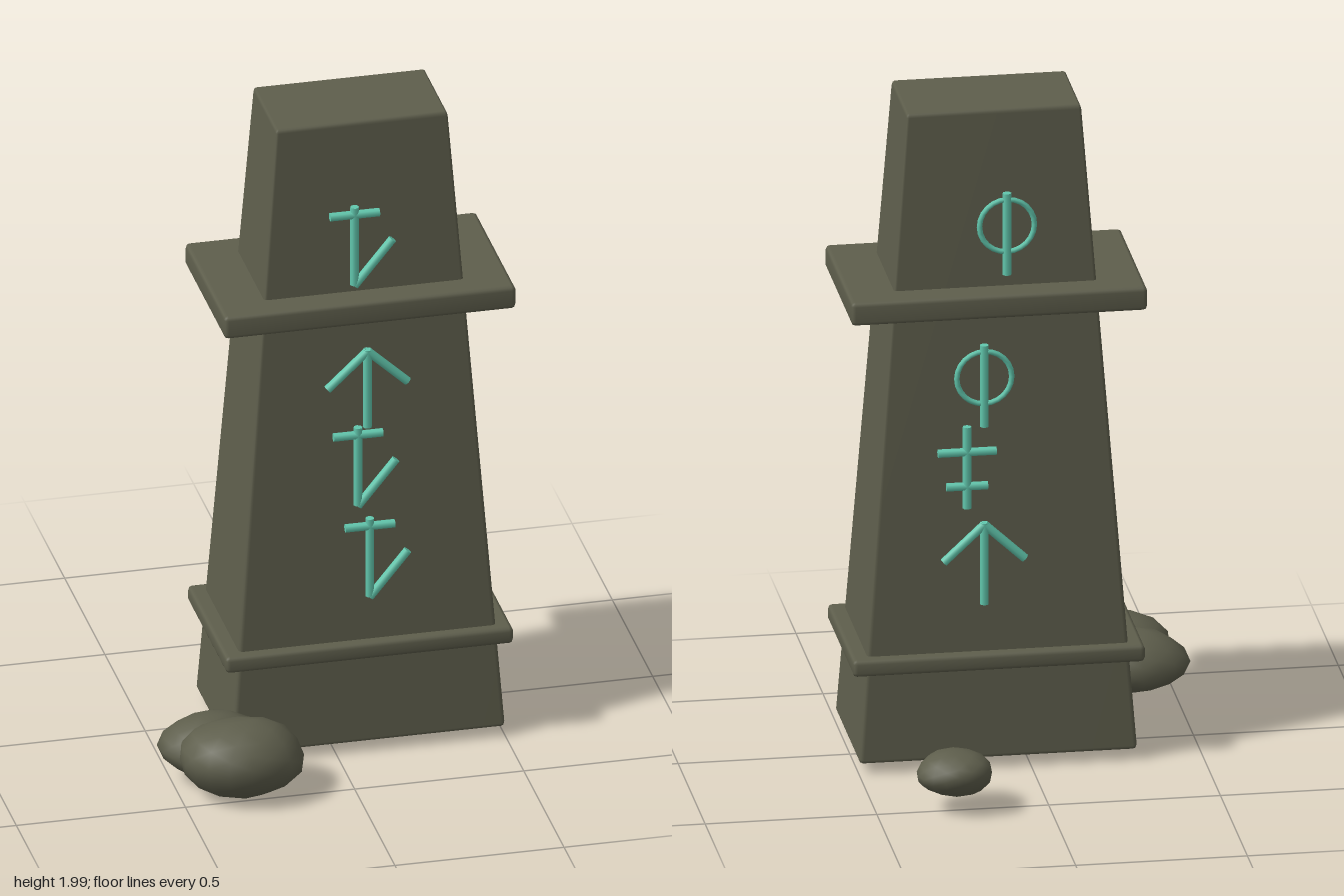
import * as THREE from 'three';
import { mergeVertices } from 'three/addons/utils/BufferGeometryUtils.js';
import { RoundedBoxGeometry } from 'three/addons/geometries/RoundedBoxGeometry.js';

const stone = new THREE.MeshStandardMaterial({ color: 0x5e5e4c });
stone.name = 'mossy stone';
const glow = new THREE.MeshStandardMaterial({ color: 0x62c8ae });
glow.name = 'teal rune';

const CX = 0.095, CZ = 0.05; // centre line of the monument

// Weld the corners and recompute soft normals
function soften(geo) {
  geo.deleteAttribute('normal');
  geo.deleteAttribute('uv');
  geo.clearGroups();
  const g = mergeVertices(geo, 1e-4);
  g.computeVertexNormals();
  return g;
}

function add(parent, name, geo, mat, x = 0, y = 0, z = 0) {
  const m = new THREE.Mesh(geo, mat);
  m.name = name;
  m.position.set(x, y, z);
  parent.add(m);
  return m;
}

// Bevelled box that narrows towards the top
function taperedBlock(w0, d0, w1, d1, h, r) {
  const g = new RoundedBoxGeometry(w0, h, d0, 1, r);
  const p = g.attributes.position;
  for (let i = 0; i < p.count; i++) {
    const t = p.getY(i) / h + 0.5;
    p.setX(i, p.getX(i) * THREE.MathUtils.lerp(1, w1 / w0, t));
    p.setZ(i, p.getZ(i) * THREE.MathUtils.lerp(1, d1 / d0, t));
  }
  return soften(g);
}

// Lumpy boulder: an ellipsoid pushed in and out by smooth waves
function boulder(rx, ry, rz, seed) {
  const g = soften(new THREE.IcosahedronGeometry(1, 2));
  const p = g.attributes.position;
  for (let i = 0; i < p.count; i++) {
    const x = p.getX(i), y = p.getY(i), z = p.getZ(i);
    const k = 1 + 0.045 * Math.sin(3.1 * x + seed) * Math.cos(2.7 * z - seed)
      + 0.035 * Math.sin(4.3 * y + 2.2 * x + seed * 1.7);
    p.setXYZ(i, x * k * rx, y * k * ry, z * k * rz);
  }
  g.computeVertexNormals();
  return g;
}

// Rune strokes, in local coordinates about the rune's centre: [x0, y0, x1, y1]
const staff = [0, -0.122, 0, 0.128];
const RUNES = {
  hook: [staff, [-0.073, 0.103, 0.073, 0.103], [0, -0.125, 0.112, 0.012]],
  arrow: [staff, [0, 0.122, -0.118, 0.012], [0, 0.122, 0.118, 0.012]],
  ring: [staff],
  doubleCross: [staff, [-0.085, 0.05, 0.085, 0.05], [-0.06, -0.055, 0.06, -0.055]],
};

function rune(kind, x, y, z) {
  const g = new THREE.Group();
  g.name = kind + 'Rune';
  for (const [x0, y0, x1, y1] of RUNES[kind]) {
    const len = Math.hypot(x1 - x0, y1 - y0);
    const bar = add(g, 'runeStroke', new THREE.CylinderGeometry(0.013, 0.013, len, 8),
      glow, (x0 + x1) / 2, (y0 + y1) / 2, 0);
    bar.rotation.z = Math.atan2(y1 - y0, x1 - x0) - Math.PI / 2;
  }
  if (kind === 'ring') {
    add(g, 'runeRing', new THREE.TorusGeometry(0.08, 0.008, 6, 24), glow, 0, 0.028, 0);
  }
  g.position.set(x, y, z);
  return g;
}

export function createModel() {
  const model = new THREE.Group();
  model.name = 'runeMonument';

  // Tapering shaft and its two collars
  add(model, 'shaft', taperedBlock(0.81, 0.452, 0.507, 0.288, 1.96, 0.013), stone, CX, 1.02, CZ);
  add(model, 'upperCollar', taperedBlock(0.862, 0.498, 0.862, 0.498, 0.072, 0.013), stone, CX, 1.431, CZ);
  add(model, 'lowerCollar', taperedBlock(0.85, 0.488, 0.85, 0.488, 0.052, 0.013), stone, CX, 0.34, CZ);

  // Runes floating just off the front and back faces
  const front = [['hook', 0.05, 1.648], ['arrow', 0.088, 1.185], ['hook', 0.06, 0.937], ['hook', 0.095, 0.64]];
  const back = [['ring', 0.072, 1.648], ['ring', 0.138, 1.185], ['doubleCross', 0.188, 0.937], ['arrow', 0.138, 0.64]];
  for (const [kind, x, y] of front) model.add(rune(kind, x, y, 0.29));
  for (const [kind, x, y] of back) model.add(rune(kind, x, y, -0.185));

  // Boulders around the base
  add(model, 'largeBoulder', boulder(0.187, 0.115, 0.145, 0.6), stone, -0.322, 0.124, 0.444);
  add(model, 'middleBoulder', boulder(0.145, 0.09, 0.125, 2.1), stone, -0.388, 0.12, 0.335);
  add(model, 'smallBoulder', boulder(0.112, 0.068, 0.096, 4.0), stone, 0.272, 0.124, -0.494);

  return model;
}
